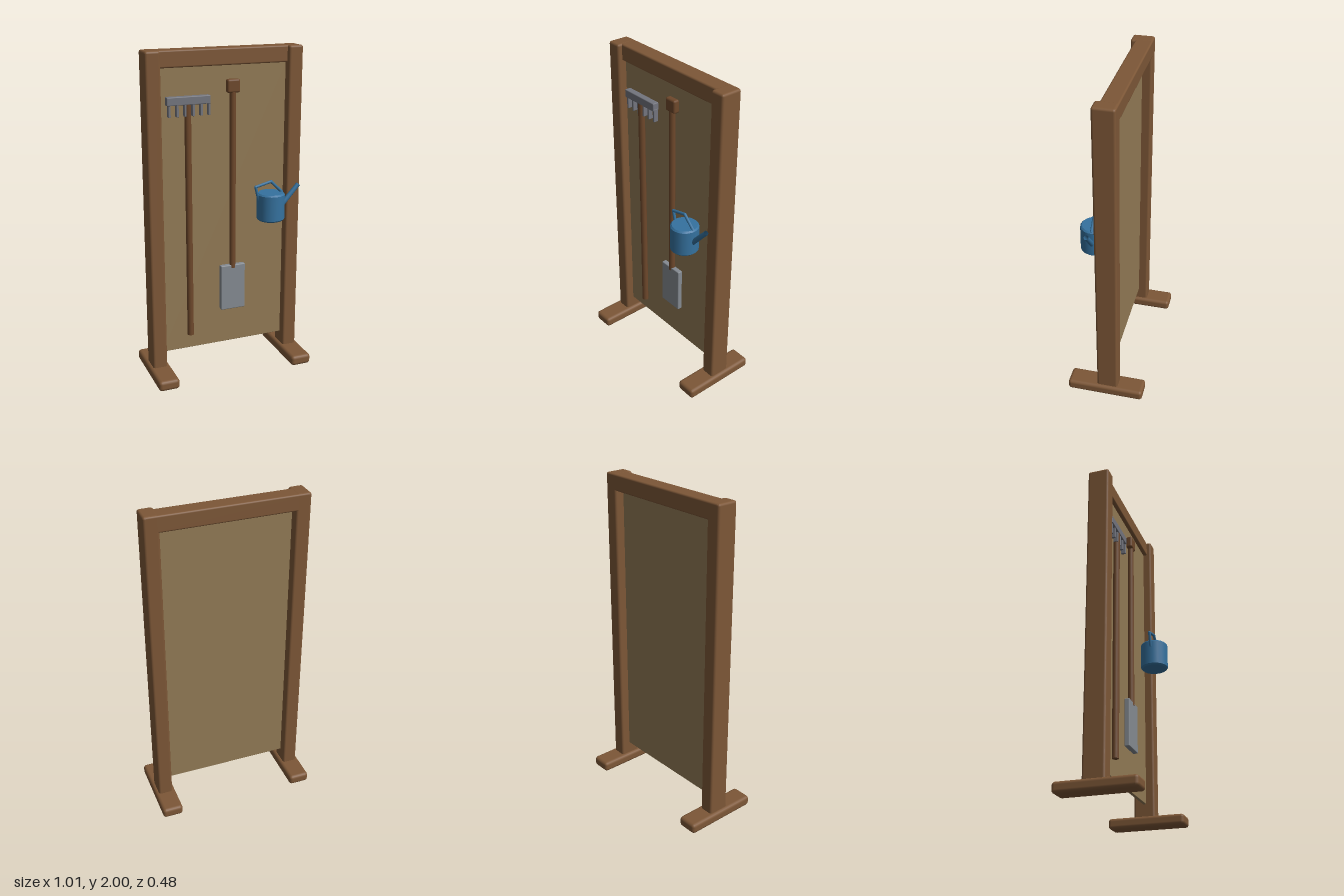
import * as THREE from 'three';
import { RoundedBoxGeometry } from 'three/addons/geometries/RoundedBoxGeometry.js';

const mat = (color) => new THREE.MeshStandardMaterial({ color });

export function createModel() {
  const model = new THREE.Group();
  model.name = 'toolBoard';
  const wood = mat(0x7d5737), board = mat(0x927a55), shaft = mat(0x6e482b);
  const iron = mat(0x73757e), steel = mat(0x858b92), blue = mat(0x35729f);

  const add = (parent, name, geometry, material, x = 0, y = 0, z = 0) => {
    const mesh = new THREE.Mesh(geometry, material);
    mesh.name = name;
    mesh.position.set(x, y, z);
    parent.add(mesh);
    return mesh;
  };
  // Rounded box given by its minimum and maximum corners
  const box = (parent, name, material, [x0, y0, z0], [x1, y1, z1], r) =>
    add(parent, name, new RoundedBoxGeometry(x1 - x0, y1 - y0, z1 - z0, 2, r), material,
      (x0 + x1) / 2, (y0 + y1) / 2, (z0 + z1) / 2);
  // Straight rod between two points
  const rod = (parent, name, material, a, b, r0, r1 = r0, sides = 12, open = false) => {
    const from = new THREE.Vector3(...a), to = new THREE.Vector3(...b);
    const dir = to.clone().sub(from);
    const mesh = add(parent, name, new THREE.CylinderGeometry(r1, r0, dir.length(), sides, 1, open), material);
    mesh.position.copy(from).add(to).multiplyScalar(0.5);
    mesh.quaternion.setFromUnitVectors(new THREE.Vector3(0, 1, 0), dir.normalize());
    return mesh;
  };
  const group = (name) => {
    const g = new THREE.Group();
    g.name = name;
    model.add(g);
    return g;
  };

  // Frame: posts on long feet, joined by a top beam around a thin panel
  const frame = group('frame');
  for (const s of [-1, 1]) {
    const side = s > 0 ? 'left' : 'right';
    const post = box(frame, side + 'Post', wood, [-0.045, 0.05, -0.078], [0.045, 2, 0.053], 0.014);
    post.position.x = s * 0.44;
    const foot = box(frame, side + 'Foot', wood, [-0.065, 0, -0.238], [0.065, 0.065, 0.238], 0.02);
    foot.position.x = s * 0.44;
  }
  box(frame, 'topBeam', wood, [-0.475, 1.9, -0.078], [0.475, 1.999, 0.025], 0.01);
  box(frame, 'backPanel', board, [-0.41, 0.14, -0.02], [0.41, 1.92, 0.0], 0.003);

  // Rake
  const rake = group('rake');
  rod(rake, 'rakeHandle', shaft, [-0.23, 0.24, 0.02], [-0.23, 1.72, 0.02], 0.02);
  box(rake, 'rakeHead', iron, [-0.36, 1.688, 0.0], [-0.095, 1.737, 0.04], 0.005);
  for (let i = 0; i < 6; i++) {
    const x = -0.343 + i * 0.0485;
    box(rake, 'rakeTine', iron, [x - 0.007, 1.62, 0.005], [x + 0.007, 1.7, 0.035], 0.003);
  }

  // Spade
  const spade = group('spade');
  rod(spade, 'spadeHandle', shaft, [0.05, 0.65, 0.02], [0.05, 1.75, 0.02], 0.019);
  box(spade, 'spadeGrip', shaft, [0.01, 1.74, 0.0], [0.09, 1.82, 0.04], 0.012);
  box(spade, 'spadeBlade', steel, [-0.03, 0.375, 0.003], [0.13, 0.67, 0.035], 0.006);

  // Watering can: bevelled body, bent handle and open spout
  const can = group('wateringCan');
  const cz = 0.105;
  const profile = [[0, 0], [0.076, 0], [0.076, 0], [0.085, 0.009], [0.085, 0.009],
    [0.085, 0.161], [0.085, 0.161], [0.076, 0.17], [0.076, 0.17], [0, 0.17]]
    .map(([r, y]) => new THREE.Vector2(r, y));
  add(can, 'canBody', new THREE.LatheGeometry(profile, 18), blue, 0.265, 0.965, cz);
  const bend = [[0.187, 1.09], [0.164, 1.178], [0.265, 1.203], [0.34, 1.13]];
  for (let i = 0; i < 3; i++) {
    rod(can, 'canHandle', blue, [...bend[i], cz], [...bend[i + 1], cz], 0.009, 0.009, 8);
    if (i) add(can, 'canHandleJoint', new THREE.SphereGeometry(0.009, 8, 6), blue, ...bend[i], cz);
  }
  const pipe = blue.clone();
  pipe.side = THREE.DoubleSide;
  rod(can, 'canSpout', pipe, [0.335, 1.045, cz], [0.448, 1.17, cz], 0.016, 0.014, 10, true);

  return model;
}
